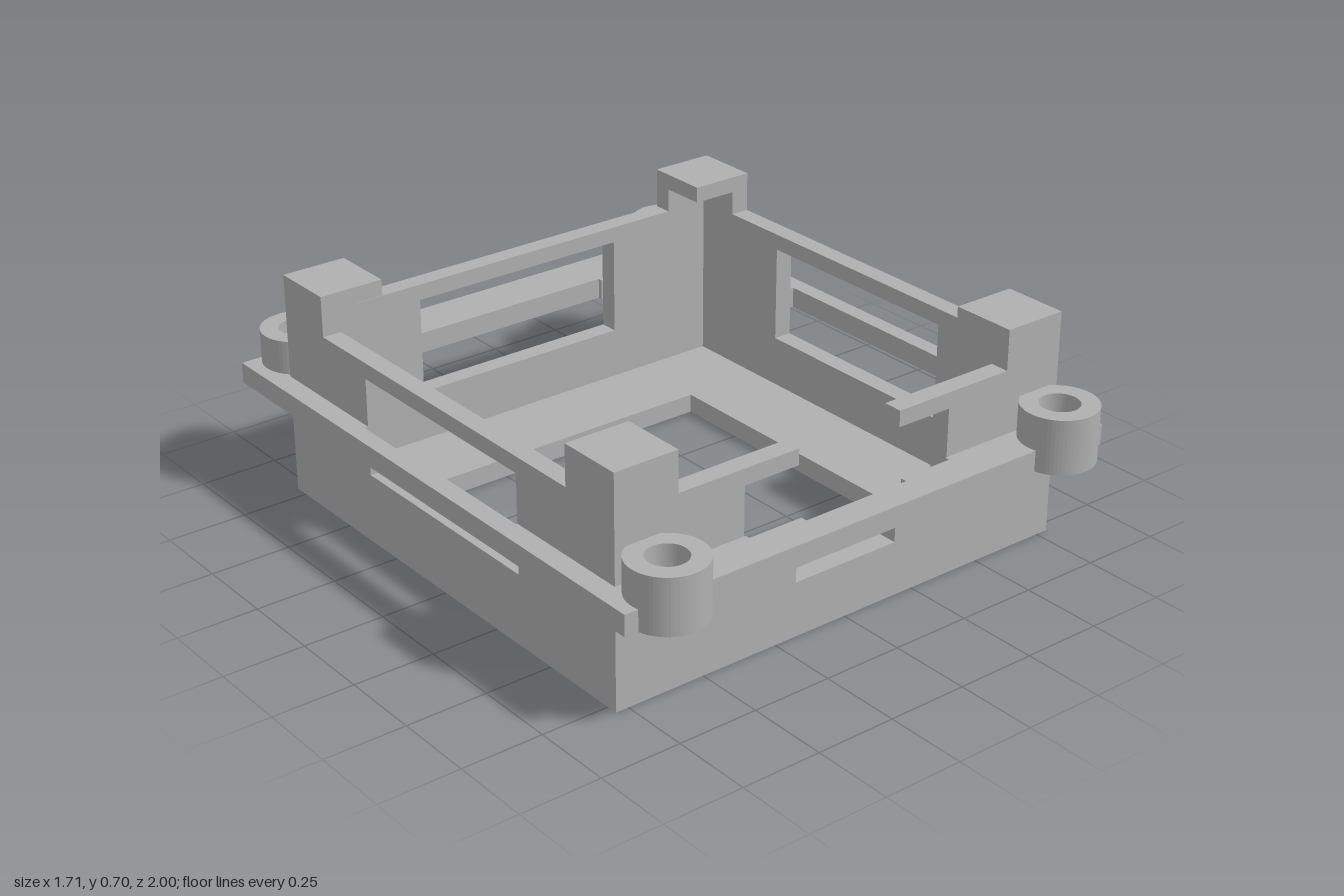
import * as THREE from 'three';

const X = 0.79, BACK = -0.795, FRONT = 0.785; // outer faces of the tray
const T = 0.06;                               // wall and floor thickness
const CAP = 0.205, CAP_Y = 0.65, TOP = 0.7;   // corner caps
const RIM = 0.575;                            // top of the walls

const poly = (points) => new THREE.Shape(points.map(([x, y]) => new THREE.Vector2(x, y)));
const rect = (x0, y0, x1, y1) => poly([[x0, y0], [x1, y0], [x1, y1], [x0, y1]]);
const extrude = (shape, depth) =>
  new THREE.ExtrudeGeometry(shape, { depth, bevelEnabled: false, curveSegments: 32 });
// Plan outline (x, z) raised from y0 to y1
const slab = (shape, y0, y1) => extrude(shape, y1 - y0).rotateX(Math.PI / 2).translate(0, y1, 0);

// Wall elevation with raised ends and a window; half = half length, tab = raised end start
function wallShape(half, tab, gap) {
  const w = 0.365, low = 0.22, high = 0.525, g = 0.18;
  const left = [[-half, CAP_Y], [-half, T], [half, T], [half, CAP_Y], [tab, CAP_Y], [tab, RIM]];
  const right = [[-tab, RIM], [-tab, CAP_Y]];
  if (gap) {
    // the window opens upward and has a step in its sill
    return poly([...left, [g, RIM], [g, high], [w, high], [w, low], [g, low], [g, 0.17],
      [-g, 0.17], [-g, low], [-w, low], [-w, high], [-g, high], [-g, RIM], ...right]);
  }
  const shape = poly([...left, ...right]);
  shape.holes.push(rect(-w, low, w, high));
  return shape;
}

export function createModel() {
  const group = new THREE.Group();
  const grey = new THREE.MeshStandardMaterial({ color: 0xb0b0b0 });
  grey.name = 'grey plastic';
  const add = (name, geometry) => {
    const mesh = new THREE.Mesh(geometry, grey);
    mesh.name = name;
    group.add(mesh);
  };

  // Floor with a square opening
  const floor = rect(-X, BACK, X, FRONT);
  floor.holes.push(rect(-0.467, -0.472, 0.467, 0.46));
  add('floor', slab(floor, 0, T));

  // Four walls
  const tab = X - CAP;
  add('frontWall', extrude(wallShape(X, tab, true), T).translate(0, 0, FRONT - T));
  add('backWall', extrude(wallShape(X, tab, false), T).translate(0, 0, BACK));
  const mid = (FRONT + BACK) / 2, halfZ = (FRONT - BACK) / 2;
  for (const s of [1, -1]) {
    const wall = extrude(wallShape(halfZ - T, halfZ - CAP, false), T)
      .translate(0, 0, -T / 2).rotateY(Math.PI / 2).translate(s * (X - T / 2), 0, mid);
    add(s > 0 ? 'leftWall' : 'rightWall', wall);
  }

  // Flange around the tray, cleared around the screw holes and windows
  const r = 0.07, edge = 0.91, bossX = 0.7, bossZ = 0.885;
  const a = Math.asin((edge - bossZ) / r);
  const flange = new THREE.Shape();
  flange.moveTo(-0.855, -0.965);
  flange.lineTo(0.855, -0.965);
  flange.lineTo(0.855, edge);
  for (const s of [1, -1]) flange.absarc(s * bossX, bossZ, r, a, Math.PI - a, true);
  flange.lineTo(-0.855, edge);
  const half = [[0.36, -0.81], [0.36, BACK], [X, BACK], [X, -0.37], [0.802, -0.37],
    [0.802, 0.36], [X, 0.36], [X, FRONT], [0.36, FRONT], [0.36, 0.8], [0.18, 0.8], [0.18, 0.82]];
  flange.holes.push(poly([...half, ...half.map(([x, z]) => [-x, z]).reverse()]));
  for (const s of [1, -1]) {
    flange.holes.push(new THREE.Path().absarc(s * bossX, -bossZ, r, 0, Math.PI * 2));
  }
  add('flange', slab(flange, 0.31, 0.375));

  for (const sx of [1, -1]) {
    for (const sz of [1, -1]) {
      const side = (sz > 0 ? 'front' : 'back') + (sx > 0 ? 'Left' : 'Right');
      // Corner cap
      const cz = sz > 0 ? FRONT - CAP / 2 : BACK + CAP / 2;
      add(side + 'Cap', new THREE.BoxGeometry(CAP, TOP - CAP_Y, CAP)
        .translate(sx * (X - CAP / 2), (TOP + CAP_Y) / 2, cz));
      // Screw boss
      const boss = new THREE.Shape().absarc(0, 0, 0.115, 0, Math.PI * 2);
      boss.holes.push(new THREE.Path().absarc(0, 0, 0.06, 0, Math.PI * 2));
      add(side + 'Boss', slab(boss, 0.31, 0.48).translate(sx * bossX, 0, sz * bossZ));
    }
  }
  return group;
}
